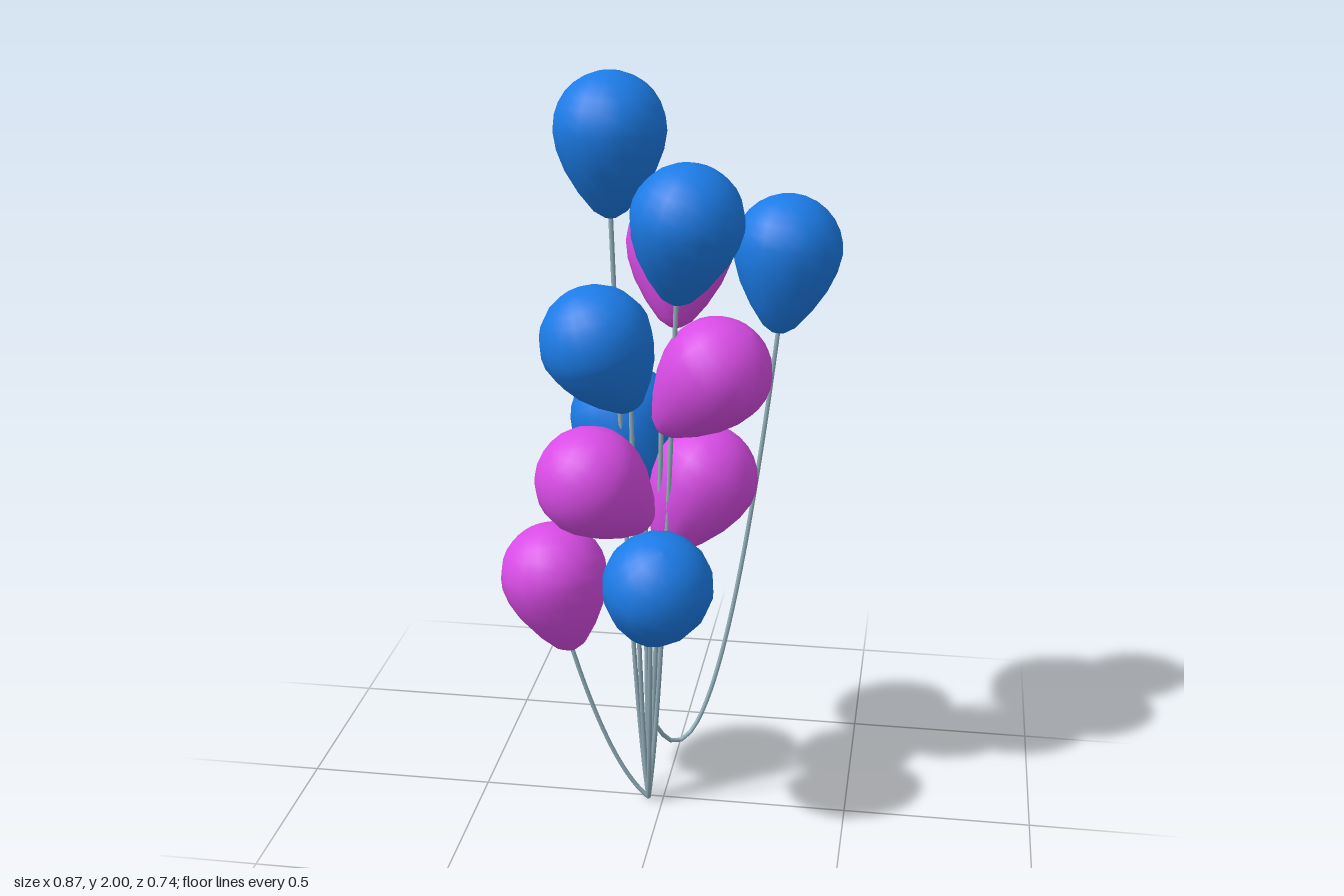
import * as THREE from 'three';

const mat = (name, color) => Object.assign(new THREE.MeshStandardMaterial({ color }), { name });

export function createModel() {
  const group = new THREE.Group();
  group.name = 'balloonBunch';
  const blue = mat('blue', 0x1c7ce8);
  const pink = mat('magenta', 0xd94ce6);
  const cord = mat('greyString', 0x93b0bb);

  // Teardrop balloon: lower taper, then a hemisphere, centred on its widest ring
  const R = 0.143;
  const profile = [[0, -0.222], [0.016, -0.22], [0.043, -0.203], [0.081, -0.155], [0.115, -0.098], [0.135, -0.046]]
    .map(([r, y]) => new THREE.Vector2(r, y));
  for (let i = 0; i < 7; i++) {
    const a = (i / 7) * Math.PI / 2;
    profile.push(new THREE.Vector2(R * Math.cos(a), R * Math.sin(a)));
  }
  // Tiny flat cap keeps the crown smooth
  profile.push(new THREE.Vector2(0.004, R), new THREE.Vector2(0, R));
  const balloonGeo = new THREE.LatheGeometry(profile, 16);

  // String that hangs between two points with the given sag
  const hang = (a, b, sag) => {
    const pts = [];
    for (let i = 0; i <= 12; i++) {
      const t = i / 12;
      const p = a.clone().lerp(b, t);
      p.y -= 4 * sag * t * (1 - t);
      pts.push(p);
    }
    return new THREE.TubeGeometry(new THREE.CatmullRomCurve3(pts), 40, 0.0062, 8);
  };

  // Colour, centre of the widest ring, direction of the tip
  const balloons = [
    [blue, [-0.135, 1.857, -0.008], [0, -0.215, 0]],
    [blue, [0.072, 1.657, 0.095], [-0.03, -0.205, -0.03]],
    [pink, [0.02, 1.542, -0.157], [0, -0.19, 0.09]],
    [blue, [0.29, 1.517, -0.23], [-0.017, -0.21, 0.037]],
    [pink, [0.14, 1.26, 0.043], [-0.142, -0.163, -0.012]],
    [blue, [-0.146, 1.358, 0.145], [0.074, -0.192, -0.075]],
    [blue, [-0.128, 1.067, -0.135], [0.07, -0.19, 0.08]],
    [pink, [-0.168, 0.983, 0.133], [0.13, -0.15, -0.1]],
    [pink, [0.096, 0.932, -0.068], [-0.095, -0.18, 0.068]],
    [blue, [0.02, 0.745, 0.229], [-0.035, -0.18, -0.1]],
    [pink, [-0.29, 0.67, 0.031], [0.042, -0.21, -0.006]],
  ];
  const knot = new THREE.Vector3(-0.04, 0.008, 0.017);
  const snag = new THREE.Vector3(-0.03, 0.25, 0.012);
  const down = new THREE.Vector3(0, -1, 0);

  balloons.forEach(([material, c, d], i) => {
    const dir = new THREE.Vector3(...d).normalize();
    const balloon = new THREE.Mesh(balloonGeo, material);
    balloon.name = `balloon${i + 1}`;
    balloon.position.set(...c);
    balloon.quaternion.setFromUnitVectors(down, dir);
    group.add(balloon);

    // The outlying balloon has a long slack string caught on the others
    const tip = balloon.position.clone().addScaledVector(dir, 0.216);
    const slack = i === 3;
    const string = new THREE.Mesh(hang(slack ? snag : knot, tip, slack ? 0.465 : 0.15 * tip.y), cord);
    string.name = `string${i + 1}`;
    group.add(string);
  });
  return group;
}
